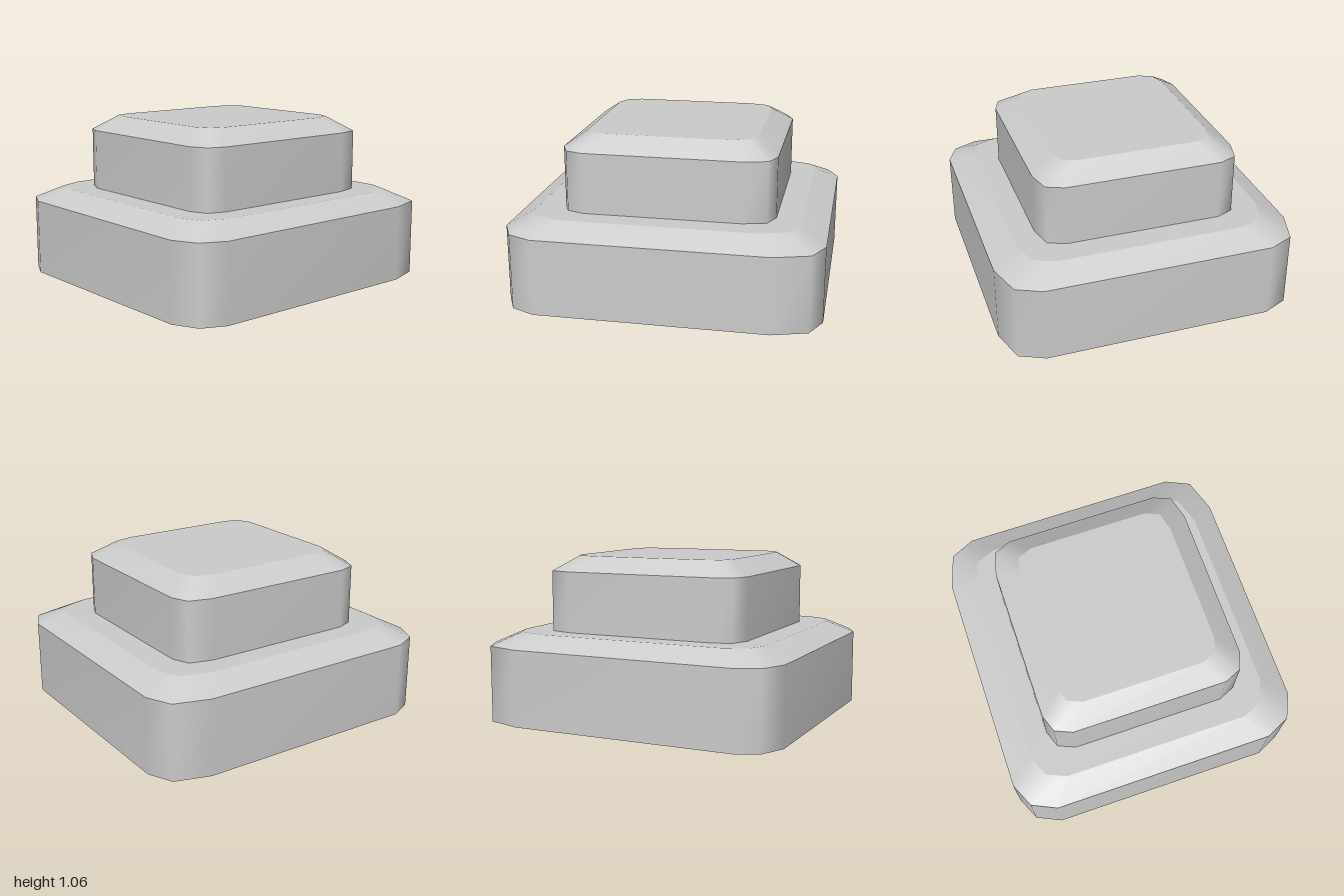
import * as THREE from 'three';

// Twelve-sided ring with three points per corner.
// w, d: half width and half depth; l, r: where the front/back edges end on
// the left and right of the plan; e: where the side edges end; cx, cz: corner point.
function ring(y, w, d, l, r, e, cx, cz) {
  return [
    [w, e], [cx, cz], [r, d], [-l, d], [-cx, cz], [-w, e],
    [-w, -e], [-cx, -cz], [-l, -d], [r, -d], [cx, -cz], [w, -e],
  ].map(([x, z]) => [x, y, z]);
}

function surface(points, index) {
  const g = new THREE.BufferGeometry();
  g.setAttribute('position', new THREE.Float32BufferAttribute(points.flat(), 3));
  g.setIndex(index);
  g.computeVertexNormals();
  return g;
}

// Strip between two rings, smooth around and sharp at its rims
function band(low, high) {
  const n = low.length, index = [];
  for (let i = 0; i < n; i++) {
    const j = (i + 1) % n;
    index.push(i, n + i, j, j, n + i, n + j);
  }
  return surface([...low, ...high], index);
}

// Flat lid fanned from the centre
function cap(r, up) {
  const n = r.length, index = [];
  for (let i = 0; i < n; i++) {
    const j = (i + 1) % n;
    index.push(n, up ? j : i, up ? i : j);
  }
  return surface([...r, [0, r[0][1], 0]], index);
}

export function createModel() {
  const model = new THREE.Group();
  const material = new THREE.MeshStandardMaterial({ color: 0xcccccc });

  const part = (name, pieces) => {
    const group = new THREE.Group();
    group.name = name;
    for (const [label, geometry] of Object.entries(pieces)) {
      const mesh = new THREE.Mesh(geometry, material);
      mesh.name = label;
      group.add(mesh);
    }
    model.add(group);
  };

  const base = (y) => ring(y, 1, 0.96, 0.77, 0.70, 0.73, 0.925, 0.89);
  const shelf = ring(0.575, 0.84, 0.80, 0.64, 0.60, 0.61, 0.785, 0.74);
  const block = (y) => ring(y, 0.677, 0.65, 0.52, 0.48, 0.50, 0.63, 0.61);
  const top = ring(1.06, 0.54, 0.51, 0.41, 0.375, 0.39, 0.50, 0.48);

  // Wide lower step
  part('lowerStep', {
    lowerBottom: cap(base(0), false),
    lowerWall: band(base(0), base(0.493)),
    lowerBevel: band(base(0.493), shelf),
    shelf: band(shelf, block(0.575)),
  });

  // Smaller block on top
  part('upperStep', {
    upperWall: band(block(0.575), block(0.965)),
    upperBevel: band(block(0.965), top),
    upperTop: cap(top, true),
  });

  return model;
}
